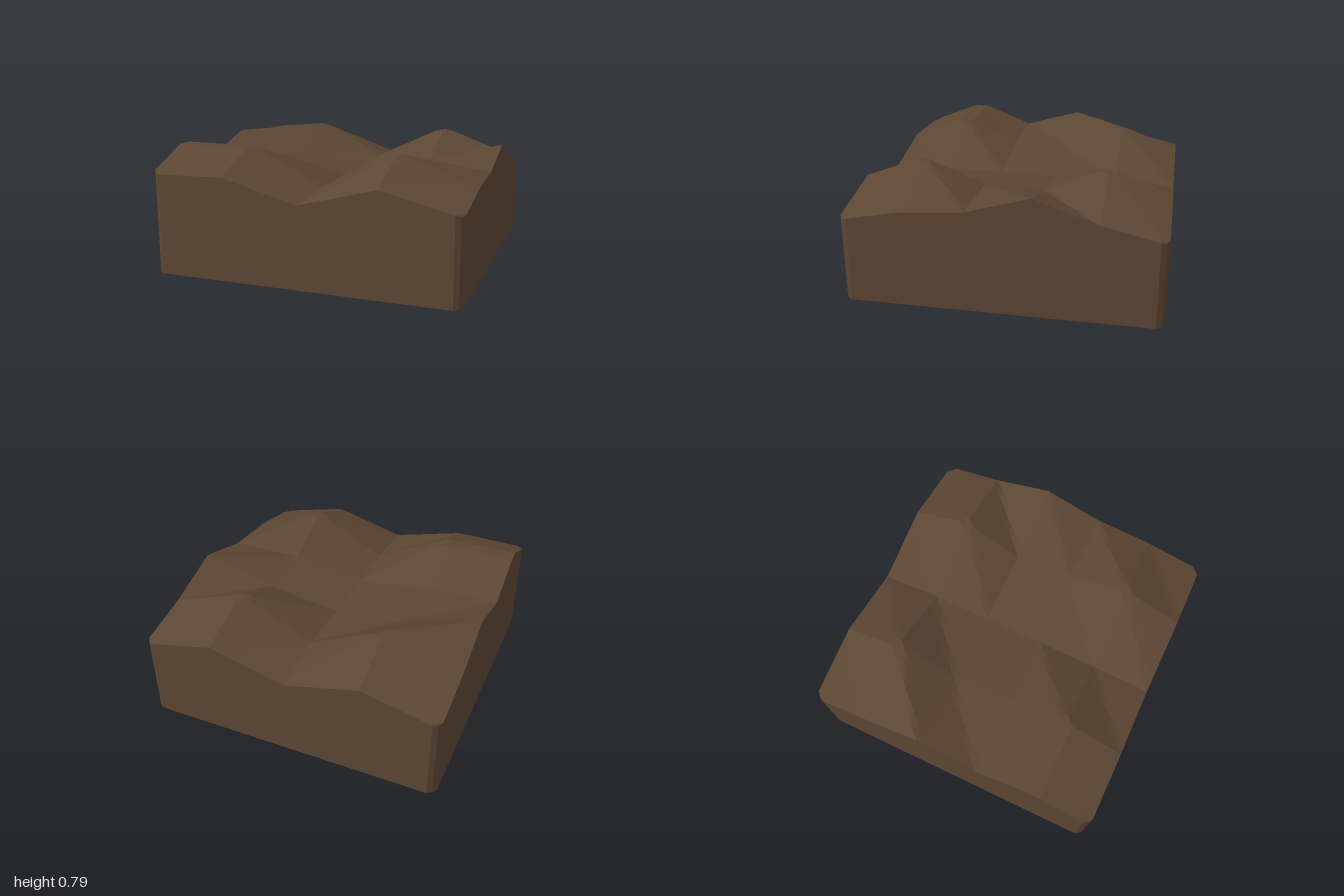
import * as THREE from 'three';
import { toCreasedNormals } from 'three/addons/utils/BufferGeometryUtils.js';

// Control heights: rows run back to front, columns from -x to +x
const HEIGHTS = [
  [0.55, 0.66, 0.53, 0.66, 0.54],
  [0.63, 0.81, 0.575, 0.81, 0.63],
  [0.77, 0.63, 0.56, 0.63, 0.765],
  [0.655, 0.645, 0.565, 0.65, 0.65],
  [0.81, 0.81, 0.56, 0.81, 0.62],
  [0.65, 0.66, 0.53, 0.66, 0.54],
];
const PEAK = 0.79; // peaks are planed off to a small flat

// Height on the triangulated control grid
function heightAt(x, z) {
  const gx = (x + 1) * 2, gz = (z + 1) * 2.5;
  const i = Math.min(3, Math.floor(gx + 1e-6)), j = Math.min(4, Math.floor(gz + 1e-6));
  const u = gx - i, v = gz - j;
  const a = HEIGHTS[j][i], d = HEIGHTS[j][i + 1];
  const b = HEIGHTS[j + 1][i], c = HEIGHTS[j + 1][i + 1];
  const h = u + v <= 1
    ? a + u * (d - a) + v * (b - a)
    : c + (1 - u) * (b - c) + (1 - v) * (d - c);
  return Math.min(h, PEAK);
}

export function createModel() {
  const model = new THREE.Group();
  model.name = 'groundBlock';

  // Block of earth: the top follows the height grid, the base stays flat
  const box = new THREE.BoxGeometry(2, 1, 2, 40, 1, 40);
  const pos = box.attributes.position;
  for (let k = 0; k < pos.count; k++) {
    const x = pos.getX(k), z = pos.getZ(k);
    const y = pos.getY(k) > 0 ? heightAt(x, z) : 0;
    // Ease the four upright corners inwards
    const s = Math.abs(x) > 0.99 && Math.abs(z) > 0.99 ? 0.98 : 1;
    pos.setXYZ(k, x * s, y, z * s);
  }

  const earth = new THREE.Mesh(
    toCreasedNormals(box, 0.25),
    new THREE.MeshStandardMaterial({ color: 0x5c4633 })
  );
  earth.name = 'hillyEarth';
  model.add(earth);
  return model;
}
